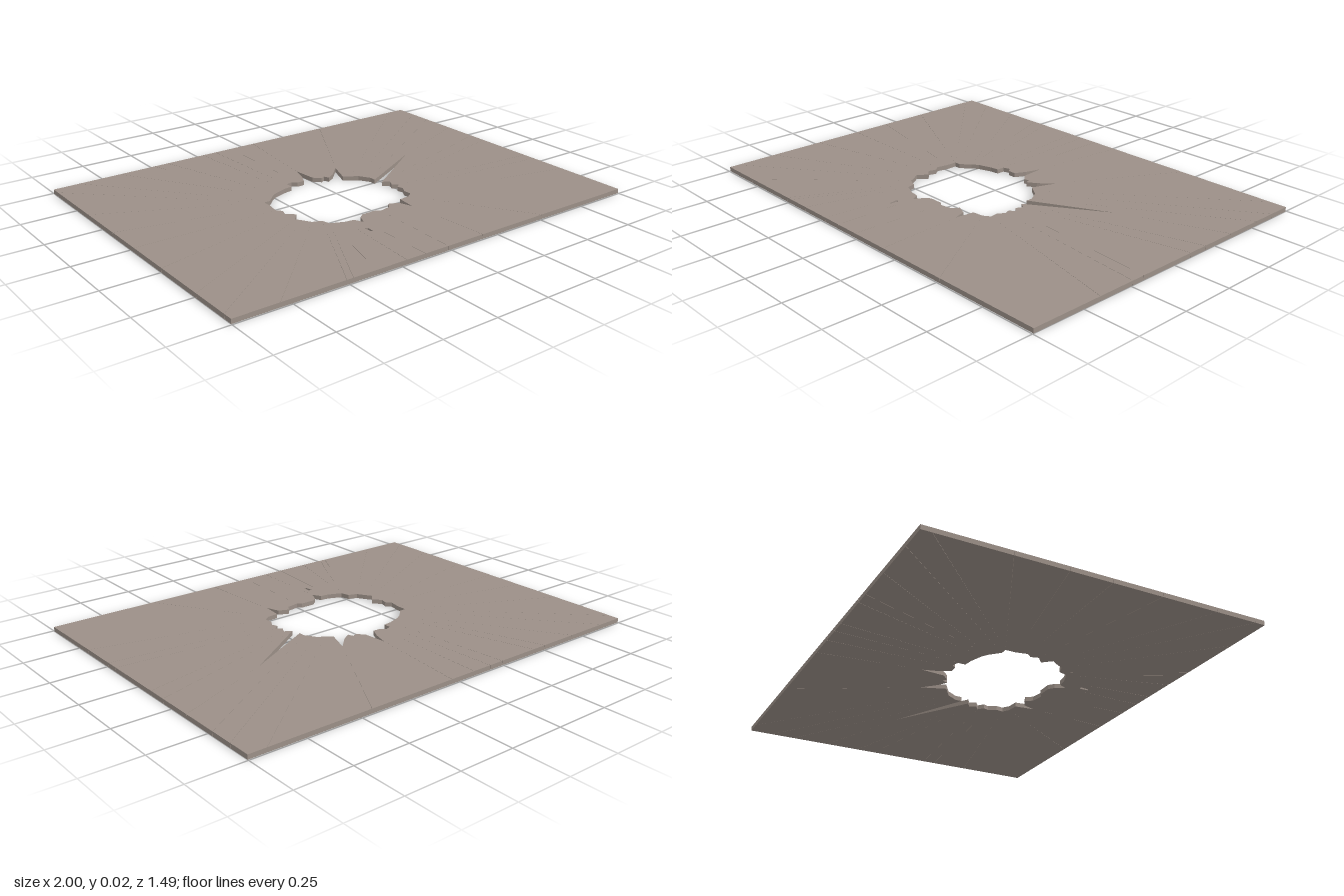
import * as THREE from 'three';

const THICKNESS = 0.02, W = 1, D = 0.745, GAP = 0.0006;

// Jagged rim of the hole as [x, z], clockwise seen from above
const RIM = [
  [-.34, -.01], [-.34, -.06], [-.31, -.06], [-.27, -.1], [-.24, -.12], [-.18, -.14], [-.14, -.145],
  [-.14, -.18], [-.11, -.19], [-.09, -.17], [-.055, -.17], [-.03, -.22], [-.01, -.29], [0, -.18],
  [.03, -.15], [.05, -.16], [.06, -.135], [.1, -.16], [.16, -.22], [.12, -.11], [.15, -.09],
  [.18, -.07], [.21, -.02], [.21, .01], [.55, -.17], [.22, .05], [.25, .07], [.235, .1],
  [.26, .12], [.235, .14], [.245, .165], [.225, .2], [.23, .235], [.2, .255], [.15, .26],
  [.14, .35], [.12, .29], [.075, .27], [.055, .3], [0, .31], [-.02, .295], [-.085, .295],
  [-.11, .315], [-.13, .36], [-.15, .32], [-.19, .315], [-.25, .29], [-.26, .25], [-.3, .235],
  [-.32, .2], [-.34, .17], [-.305, .13], [-.34, .1], [-.33, .065], [-.35, .04],
];

// Hairline cracks: [rim index, border side, position along that side]
// Sides: 0 left, 1 back, 2 right, 3 front
const CRACKS = [
  [0, 0, -.155], [1, 0, -.385], [1, 0, -.7], [2, 1, -.88], [3, 1, -.68], [3, 1, -.505],
  [4, 1, -.435], [5, 1, -.245], [6, 1, -.175], [9, 1, -.085], [12, 1, .04], [18, 1, .45],
  [20, 1, .92], [21, 2, -.64], [22, 2, -.53], [24, 2, -.355], [25, 2, -.19], [26, 2, -.1],
  [28, 2, .18], [30, 2, .24], [32, 2, .415], [33, 3, .51], [35, 3, .17], [39, 3, -.015],
  [43, 3, -.13], [45, 3, -.225], [46, 3, -.37], [46, 3, -.48], [47, 3, -.51], [48, 3, -.8],
  [49, 0, .7], [50, 0, .51], [52, 0, .255], [54, 0, .03],
];
const CORNERS = [[-W, -D], [W, -D], [W, D], [-W, D]];
const TRAVEL = [-1, 1, 1, -1];

// Point where a crack meets the border, nudged along it to leave a hairline gap
function borderPoint([, side, t], nudge) {
  const p = t + TRAVEL[side] * nudge;
  return [[-W, p], [p, -D], [W, p], [p, D]][side];
}

const toVectors = (points) => points.map(([x, z]) => new THREE.Vector2(x, -z));

// One piece of the slab between two neighbouring cracks
function shardGeometry(a, b) {
  const points = [];
  for (let i = a[0]; ; i = (i + 1) % RIM.length) {
    points.push(RIM[i]);
    if (i === b[0]) break;
  }
  points.push(borderPoint(b, -GAP));
  if (a[1] !== b[1]) points.push(CORNERS[a[1]]);
  points.push(borderPoint(a, GAP));

  const shape = new THREE.Shape(toVectors(points));
  // Small chip knocked out in front of the hole
  if (a[0] === 43) {
    shape.holes.push(new THREE.Path(toVectors([[-.17, .415], [-.155, .42], [-.157, .46], [-.165, .455]])));
  }
  const geometry = new THREE.ExtrudeGeometry(shape, { depth: THICKNESS, bevelEnabled: false });
  return geometry.rotateX(-Math.PI / 2);
}

export function createModel() {
  const model = new THREE.Group();
  model.name = 'brokenSlab';
  const stone = new THREE.MeshStandardMaterial({ color: 0x9b8f87 });
  stone.name = 'warm grey stone';

  CRACKS.forEach((crack, i) => {
    const next = CRACKS[(i + 1) % CRACKS.length];
    const shard = new THREE.Mesh(shardGeometry(crack, next), stone);
    shard.name = `slabShard${i + 1}`;
    model.add(shard);
  });
  return model;
}
